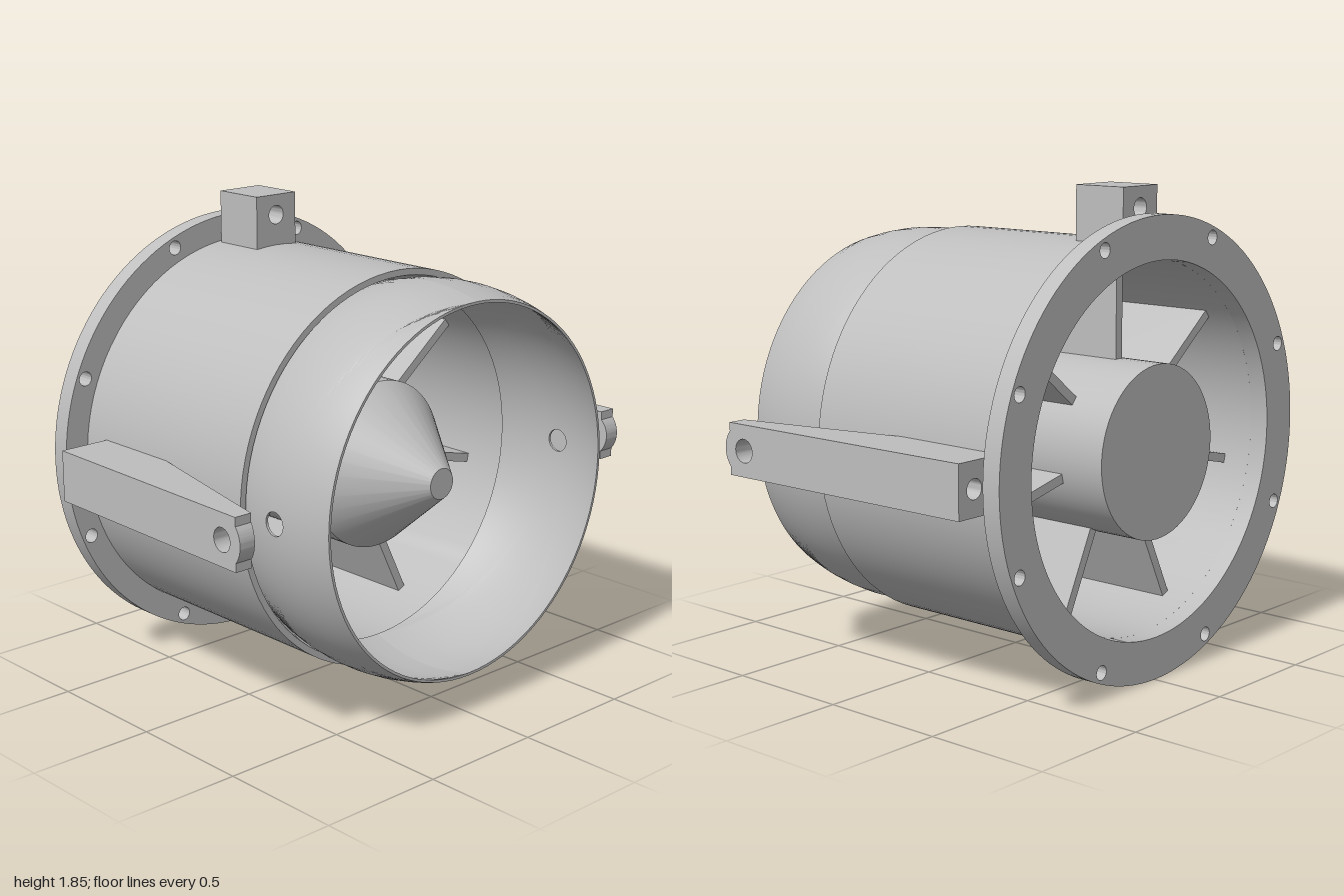
import * as THREE from 'three';
import { toCreasedNormals } from 'three/addons/utils/BufferGeometryUtils.js';

const metal = new THREE.MeshStandardMaterial({ color: 0xbebebe });
metal.name = 'grey metal';

const BALL_X = 0.46; // pivot centre of the ball nozzle on the duct axis

function part(name, geometry, parent) {
  const mesh = new THREE.Mesh(geometry, metal);
  mesh.name = name;
  parent.add(mesh);
  return mesh;
}

// Revolve [radius, x] points around the x axis
function revolve(points, segments = 96) {
  const g = new THREE.LatheGeometry(points.map(([r, x]) => new THREE.Vector2(r, x)), segments);
  return toCreasedNormals(g.rotateZ(-Math.PI / 2), 0.5);
}

function circle(x, y, r) {
  return new THREE.Path().absarc(x, y, r, 0, Math.PI * 2, true);
}

// Extrude a shape along the x axis (shape x becomes -z)
function extrudeX(shape, x0, x1, curveSegments = 16) {
  const g = new THREE.ExtrudeGeometry(shape, { depth: x1 - x0, bevelEnabled: false, curveSegments });
  return toCreasedNormals(g.rotateY(Math.PI / 2).translate(x0, 0, 0), 0.5);
}

// Move z of every vertex by a rule
function reshapeZ(g, rule) {
  const p = g.attributes.position;
  for (let i = 0; i < p.count; i++) p.setZ(i, rule(p.getX(i), p.getZ(i)));
  return toCreasedNormals(g, 0.5);
}

// Square block with a bore along x, reaching outwards from the body
function boredBlock(x0, x1) {
  const s = new THREE.Shape();
  s.moveTo(-0.975, -0.1).lineTo(-0.76, -0.1).lineTo(-0.76, 0.1).lineTo(-0.975, 0.1).closePath();
  s.holes.push(circle(-0.895, 0, 0.037));
  return extrudeX(s, x0, x1);
}

const outerZ = (x) => 0.983 + (x + 0.15) * 0.0235;

// Support arm on the +z side, with a tapered end and a pivot eye
function makeArm(name, rearX) {
  const arm = new THREE.Group();
  arm.name = name;
  part('armBlock', reshapeZ(boredBlock(rearX, -0.15), (x, z) => (z > 0.97 ? outerZ(x) : z)), arm);
  const a = Math.acos(0.75);
  const s = new THREE.Shape();
  s.moveTo(-0.15, -0.1).lineTo(0.535, -0.1);
  s.absarc(BALL_X, 0, 0.1, -a, a, false);
  s.lineTo(0.535, 0.1).lineTo(-0.15, 0.1).closePath();
  s.holes.push(circle(BALL_X, 0, 0.045));
  const g = new THREE.ExtrudeGeometry(s, { depth: 1, bevelEnabled: false, curveSegments: 16 });
  part('armTip', reshapeZ(g, (x, z) => (z > 0.5 ? outerZ(x) : 0.765 + (x + 0.15) * 0.238)), arm);
  return arm;
}

// Half of the spherical nozzle shell (+z side) with a pivot hole:
// rings spread from the hole to the edges of the half band
function halfNozzle() {
  const x0 = 0.2, x1 = 0.7, h = Math.PI / 2, hole = 0.045;
  const edge = [];
  const side = (xa, pa, xb, pb, n) => {
    for (let i = 0; i < n; i++) edge.push([xa + (xb - xa) * i / n, pa + (pb - pa) * i / n]);
  };
  side(x1, -h, x1, h, 48);
  side(x1, h, x0, h, 10);
  side(x0, h, x0, -h, 48);
  side(x0, -h, x1, -h, 10);

  const steps = 18, rows = [];
  for (let j = 0; j <= steps; j++) rows.push([0.76, (j / steps) ** 1.3]);
  for (let j = steps; j >= 0; j--) rows.push([0.75, (j / steps) ** 1.3]);
  rows.push([0.76, 0]);

  const pos = [], index = [];
  for (const [ex, ep] of edge) {
    const t = Math.atan2(ep * 0.76, ex - BALL_X);
    for (const [R, s] of rows) {
      const hx = BALL_X + hole * Math.cos(t), hp = Math.asin(hole * Math.sin(t) / R);
      const x = hx + (ex - hx) * s, p = hp + (ep - hp) * s;
      const r = Math.sqrt(R * R - (x - BALL_X) ** 2);
      pos.push(x, r * Math.sin(p), r * Math.cos(p));
    }
  }
  const m = rows.length, n = edge.length;
  for (let i = 0; i < n; i++) {
    for (let j = 0; j < m - 1; j++) {
      const a = i * m + j, d = ((i + 1) % n) * m + j;
      index.push(a, a + 1, d + 1, a, d + 1, d);
    }
  }
  const g = new THREE.BufferGeometry();
  g.setAttribute('position', new THREE.Float32BufferAttribute(pos, 3));
  g.setIndex(index);
  return toCreasedNormals(g, 0.5);
}

export function createModel() {
  const model = new THREE.Group();
  model.name = 'ductedNozzle';
  const duct = new THREE.Group();
  duct.name = 'duct';
  duct.position.y = 0.875;
  model.add(duct);

  // Mounting flange with eight bolt holes
  const ring = new THREE.Shape().absarc(0, 0, 0.875, 0, Math.PI * 2, false);
  ring.holes.push(circle(0, 0, 0.71));
  for (let i = 0; i < 8; i++) {
    const a = (i + 0.5) * Math.PI / 4;
    ring.holes.push(circle(0.834 * Math.cos(a), 0.834 * Math.sin(a), 0.028));
  }
  part('flange', extrudeX(ring, -0.7, -0.625, 64), duct);

  // Cylindrical casing with a socket for the nozzle
  part('casing', revolve([
    [0.71, -0.625], [0.775, -0.625], [0.775, 0.295], [0.75, 0.295],
    [0.72, 0.2], [0.71, 0.2], [0.71, -0.625],
  ]), duct);

  // Swivelling nozzle
  for (const [name, turn] of [['nozzleFrontHalf', 0], ['nozzleBackHalf', Math.PI]]) {
    part(name, halfNozzle(), duct).rotation.x = turn;
  }

  // Central hub with a blunt tail cone
  part('hub', revolve([[0, -0.7], [0.33, -0.7], [0.33, 0.2], [0.06, 0.54], [0, 0.54]], 64), duct);

  // Seven radial struts
  for (let i = 0; i < 7; i++) {
    const strut = new THREE.BoxGeometry(0.535, 0.41, 0.036).translate(-0.245, 0.515, 0);
    part('strut', strut, duct).rotation.x = i * Math.PI * 2 / 7;
  }

  // Top lug
  part('topLug', boredBlock(-0.605, -0.385), duct).rotation.x = -Math.PI / 2;

  // Side arms
  duct.add(makeArm('frontArm', -0.505));
  const back = makeArm('backArm', -0.605);
  back.rotation.x = Math.PI;
  duct.add(back);

  return model;
}
